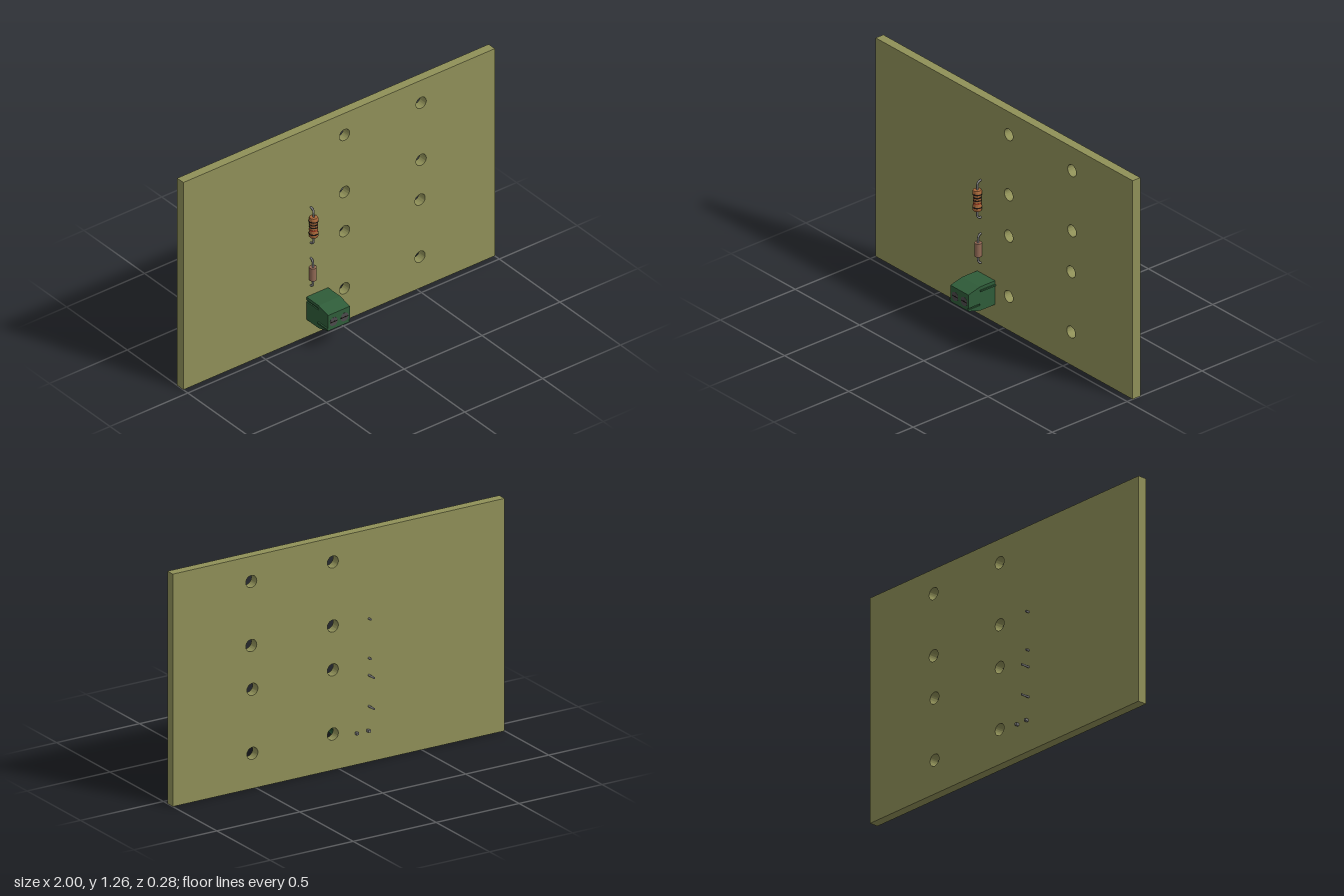
import * as THREE from 'three';
import { toCreasedNormals } from 'three/addons/utils/BufferGeometryUtils.js';

const BACK = -0.088, FACE = -0.037;   // board z range
const material = (color) => new THREE.MeshStandardMaterial({ color });
const olive = material(0x8f9058), green = material(0x2f5c39), metal = material(0x808080);
const dark = material(0x4c4a4c), black = material(0x181512), red = material(0xa83a22);
const orange = material(0xa8683a), brown = material(0x926a55);

function add(parent, name, geometry, mat, x = 0, y = 0, z = 0) {
  const mesh = new THREE.Mesh(geometry, mat);
  mesh.name = name;
  mesh.position.set(x, y, z);
  parent.add(mesh);
  return mesh;
}

function polygon(points) {
  return new THREE.Shape(points.map(([x, y]) => new THREE.Vector2(x, y)));
}

// Panel with eight mounting holes
function makeBoard() {
  const shape = polygon([[-1, 0], [1, 0], [1, 1.26], [-1, 1.26]]);
  const holes = [
    [0.035, 1.128], [0.527, 1.123], [0.035, 0.781], [0.527, 0.776],
    [0.035, 0.543], [0.52, 0.537], [0.035, 0.195], [0.52, 0.19],
  ];
  for (const [x, y] of holes) {
    const hole = new THREE.Path();
    hole.absarc(x, y, 0.033, 0, Math.PI * 2, true);
    shape.holes.push(hole);
  }
  const geometry = new THREE.ExtrudeGeometry(shape, {
    depth: FACE - BACK, bevelEnabled: false, curveSegments: 32,
  });
  return toCreasedNormals(geometry, 0.6);
}

// One U-shaped wire running through a component body and the board
function addLeads(parent, top, bottom, z, end) {
  const r = 0.025, radius = 0.0055;
  const v = (y, zz) => new THREE.Vector3(0, y, zz);
  const path = new THREE.CurvePath();
  path.add(new THREE.LineCurve3(v(top, end), v(top, z - r)));
  path.add(new THREE.QuadraticBezierCurve3(v(top, z - r), v(top, z), v(top - r, z)));
  path.add(new THREE.LineCurve3(v(top - r, z), v(bottom + r, z)));
  path.add(new THREE.QuadraticBezierCurve3(v(bottom + r, z), v(bottom, z), v(bottom, z - r)));
  path.add(new THREE.LineCurve3(v(bottom, z - r), v(bottom, end)));
  add(parent, 'leadWire', new THREE.TubeGeometry(path, 120, radius, 12), metal);
  for (const y of [top, bottom]) {
    add(parent, 'leadEnd', new THREE.CircleGeometry(radius, 12), metal, 0, y, end).rotation.y = Math.PI;
  }
}

// Banded resistor with swollen ends
function makeResistor() {
  const group = new THREE.Group();
  const z = -0.013, y = 0.671;
  const half = [[0.022, 0], [0.022, 0.028], [0.0245, 0.034], [0.0245, 0.052], [0.021, 0.059], [0, 0.0605]];
  const profile = [...half.slice(1).reverse().map(([r, h]) => [r, -h]), ...half]
    .map(([r, h]) => new THREE.Vector2(r, h));
  add(group, 'resistorBody', toCreasedNormals(new THREE.LatheGeometry(profile, 32), 0.7), orange, 0, y, z);
  const bands = [
    [0.709, 0.0251, black], [0.69, 0.0226, black], [0.674, 0.0226, black],
    [0.657, 0.0226, red], [0.634, 0.0251, black],
  ];
  for (const [h, r, mat] of bands) {
    add(group, 'colourBand', new THREE.CylinderGeometry(r, r, 0.007, 32), mat, 0, h, z);
  }
  addLeads(group, 0.777, 0.563, z, -0.108);
  return group;
}

// Small cylindrical component
function makeDiode() {
  const group = new THREE.Group();
  add(group, 'diodeBody', new THREE.CylinderGeometry(0.019, 0.019, 0.076, 32), brown, 0, 0.385, -0.019);
  addLeads(group, 0.47, 0.302, -0.019, -0.138);
  return group;
}

// Tapered terminal block; coordinates of its section are (-z, y)
function makeTerminalBlock() {
  const group = new THREE.Group();
  const back = -FACE, front = -0.142, knee = -0.064;
  const frontNotch = [[front, 0.145], [knee, 0.145], [knee, 0.136], [front, 0.136]];
  const backNotch = [[back, 0.215], [knee, 0.215], [knee, 0.225], [back, 0.225]];
  const section = (rear, nose) => polygon([
    [back, 0.106], ...rear, [back, 0.243], [knee, 0.243], [front, 0.223],
    ...nose, [front, 0.129], [knee, 0.106],
  ]);
  const slab = (name, shape, x0, x1) => {
    const geometry = new THREE.ExtrudeGeometry(shape, { depth: x1 - x0, bevelEnabled: false });
    add(group, name, geometry.rotateY(Math.PI / 2), green, x0);
  };
  // Grooved side walls around a plain core
  slab('blockRightWall', section(backNotch, []), -0.21, -0.203);
  slab('blockCore', section([], []), -0.203, -0.077);
  slab('blockLeftWall', section([], frontNotch), -0.077, -0.07);
  // Interlocking ribs
  add(group, 'rightRib', new THREE.BoxGeometry(0.008, 0.008, 0.078), green, -0.214, 0.1405, 0.103);
  add(group, 'leftRib', new THREE.BoxGeometry(0.008, 0.008, 0.101), green, -0.066, 0.22, 0.0135);
  // Screws with slots, and solder pins
  for (const x of [-0.174, -0.104]) {
    add(group, 'screw', new THREE.CylinderGeometry(0.025, 0.025, 0.004, 28), dark, x, 0.172, 0.1405)
      .rotation.x = Math.PI / 2;
    add(group, 'screwSlot', new THREE.BoxGeometry(0.046, 0.006, 0.001), black, x, 0.172, 0.1426);
    add(group, 'solderPin', new THREE.BoxGeometry(0.013, 0.013, 0.075), metal, x, 0.173, -0.0705);
  }
  return group;
}

export function createModel() {
  const model = new THREE.Group();
  model.name = 'circuitBoard';
  add(model, 'board', makeBoard(), olive, 0, 0, BACK);
  const parts = { resistor: makeResistor(), diode: makeDiode(), terminalBlock: makeTerminalBlock() };
  for (const [name, part] of Object.entries(parts)) {
    part.name = name;
    if (name !== 'terminalBlock') part.position.x = -0.182;
    model.add(part);
  }
  return model;
}
